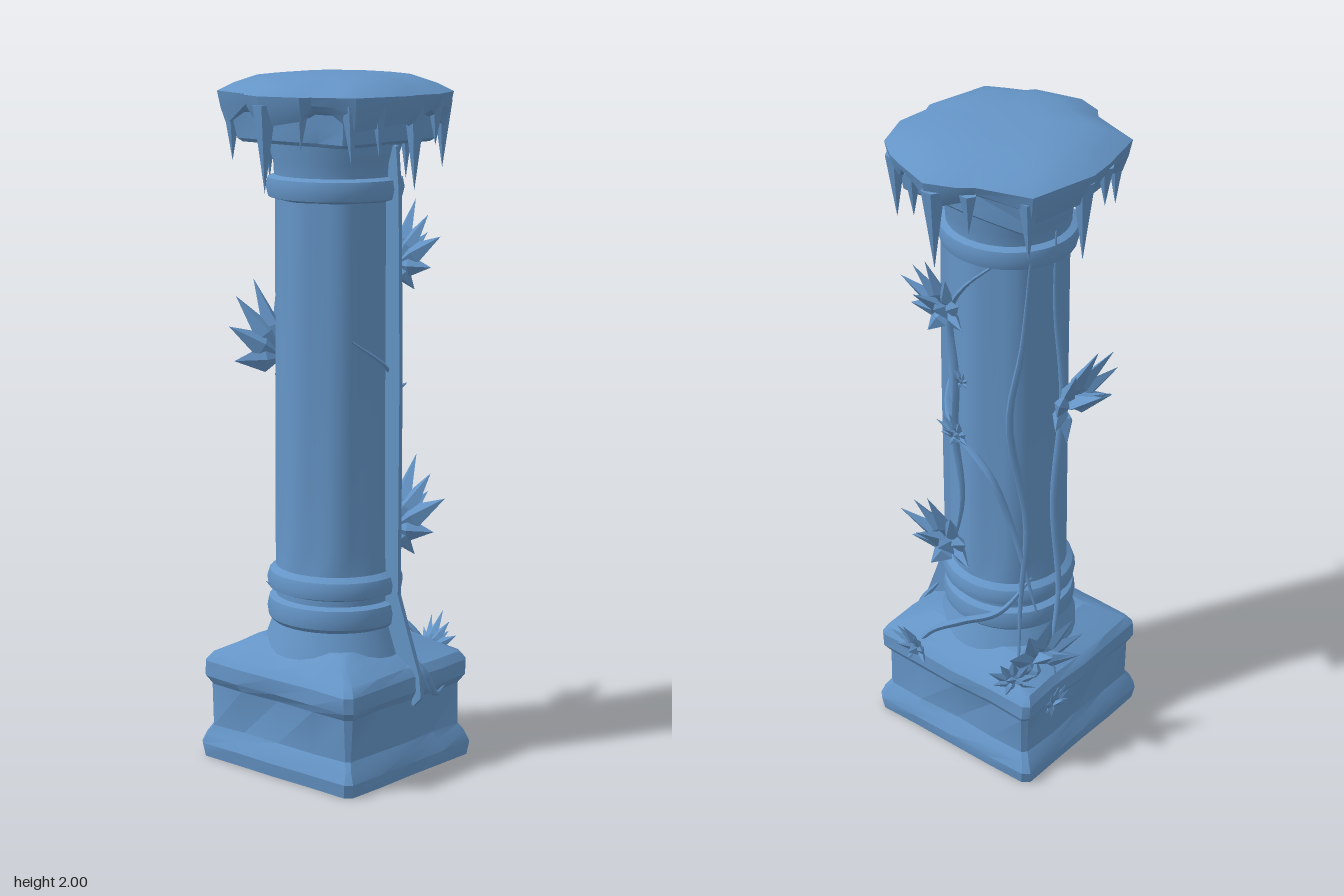
import * as THREE from 'three';
import { toCreasedNormals } from 'three/addons/utils/BufferGeometryUtils.js';

const CX = -0.015, CZ = 0.022; // column axis

// Skin a stack of equal-length rings (bottom to top) and cap both ends.
function loft(rings, crease = 0.6) {
  const n = rings[0].length, pos = [], idx = [];
  rings.forEach((r) => r.forEach((p) => pos.push(...p)));
  for (let j = 0; j < rings.length - 1; j++) {
    for (let i = 0; i < n; i++) {
      const a = j * n + i, b = j * n + (i + 1) % n;
      idx.push(a, a + n, b, b, a + n, b + n);
    }
  }
  [0, rings.length - 1].forEach((j) => {
    const c = pos.length / 3, sum = [0, 0, 0];
    rings[j].forEach((p) => p.forEach((v, k) => { sum[k] += v / n; }));
    pos.push(...sum);
    for (let i = 0; i < n; i++) {
      const a = j * n + i, b = j * n + (i + 1) % n;
      if (j === 0) idx.push(a, b, c); else idx.push(b, a, c);
    }
  });
  const g = new THREE.BufferGeometry();
  g.setAttribute('position', new THREE.Float32BufferAttribute(pos, 3));
  g.setIndex(idx);
  return toCreasedNormals(g, crease);
}

// Worn square ring, running from +x towards +z.
function squareRing(y, hx, hz, wear) {
  const pts = [];
  for (let s = 0; s < 4; s++) {
    for (const t of [-0.93, -0.5, 0, 0.5, 0.93]) {
      const w = 1 - wear * (0.5 + 0.5 * Math.sin(s * 2.3 + t * 5 + y * 17));
      const [u, v] = [[w, t], [-t, w], [-w, -t], [t, -w]][s];
      pts.push([-0.012 + u * hx, y, CZ + v * hz]);
    }
  }
  return pts;
}

export function createModel() {
  const root = new THREE.Group();
  const stone = new THREE.MeshStandardMaterial({ color: 0x6494c6, side: THREE.DoubleSide });
  stone.name = 'frosted blue stone';
  const add = (name, geo, parent = root) => {
    const m = new THREE.Mesh(geo, stone);
    m.name = name;
    parent.add(m);
    return m;
  };

  // Plinth with a foot, a recessed waist and a sloping top
  const plinth = [[0, 0.272, 0.292, 0.01], [0.04, 0.278, 0.298, 0.01], [0.07, 0.268, 0.288, 0.03],
    [0.095, 0.253, 0.273, 0.03], [0.22, 0.256, 0.276, 0.03], [0.245, 0.272, 0.292, 0.03],
    [0.29, 0.272, 0.292, 0.03], [0.315, 0.255, 0.275, 0.03], [0.345, 0.2, 0.21, 0], [0.37, 0.16, 0.17, 0]];
  add('plinth', loft(plinth.map((r) => squareRing(...r)), 0.5));

  // Column: foot, two lower rings, shaft, upper ring, flared capital
  const profile = [[0.21, 0.33], [0.195, 0.37], [0.177, 0.42], [0.188, 0.432], [0.192, 0.46], [0.186, 0.487],
    [0.167, 0.495], [0.167, 0.512], [0.188, 0.52], [0.192, 0.545], [0.185, 0.568], [0.167, 0.582],
    [0.163, 0.65], [0.161, 1.1], [0.161, 1.645], [0.184, 1.652], [0.191, 1.68], [0.186, 1.706],
    [0.168, 1.714], [0.17, 1.75], [0.188, 1.815], [0.19, 1.9]];
  const column = profile.map(([r, y]) => Array.from({ length: 32 }, (_, i) => {
    const a = i / 32 * Math.PI * 2;
    const flute = y > 0.6 && y < 1.65 ? 0.005 * Math.cos(a * 8) : 0;
    return [CX + (r + flute) * Math.cos(a), y, CZ + (r + flute) * 1.05 * Math.sin(a)];
  }));
  add('column', loft(column, 0.55));

  // Square block carrying the cap
  const block = [[1.805, 0.19, 0.2, 0.04], [1.815, 0.2, 0.215, 0.05], [1.86, 0.205, 0.22, 0.04], [1.92, 0.21, 0.22, 0]];
  add('capitalBlock', loft(block.map((r) => squareRing(...r)), 0.5));

  // Snow cap with a ragged hanging edge
  const outline = [[0.315, 0.04], [0.27, 0.165], [0.25, 0.21], [0.2, 0.275], [0.085, 0.32], [-0.01, 0.31],
    [-0.04, 0.322], [-0.22, 0.28], [-0.25, 0.22], [-0.275, 0.165], [-0.3, 0.145], [-0.33, 0.02], [-0.305, -0.055],
    [-0.275, -0.08], [-0.225, -0.235], [-0.08, -0.27], [0, -0.28], [0.2, -0.235], [0.25, -0.08], [0.28, -0.045]];
  const drop = [0.07, 0.02, 0.05, 0.08, 0.03, 0.07, 0.06, 0.08, 0.03, 0.02, 0.05, 0.07, 0.04, 0.02, 0.08, 0.03, 0.07, 0.08, 0.02, 0.04];
  const capRing = (s, y, hang = 0) => outline.map(([x, z], i) =>
    [CX + (x - CX) * s, y - hang * drop[i], CZ + (z - CZ) * s]);
  add('snowCap', loft([capRing(0.55, 1.885), capRing(0.82, 1.905, 0.4), capRing(0.92, 1.93, 1), capRing(0.97, 1.93, 0.4),
    capRing(1, 1.945), capRing(0.86, 1.968), capRing(0.66, 1.99), capRing(0.35, 1.998)], 0.5));

  // Icicles: x, z, tip height, radius
  const icicles = [[0.285, 0.03, 1.68, 0.034], [-0.302, 0.02, 1.68, 0.034], [0.03, 0.275, 1.68, 0.034],
    [0.0, -0.245, 1.68, 0.034], [0.2, 0.235, 1.73, 0.03], [-0.2, 0.245, 1.76, 0.03], [-0.12, 0.275, 1.78, 0.025],
    [0.12, 0.275, 1.8, 0.025], [-0.2, -0.2, 1.75, 0.03], [0.18, -0.205, 1.74, 0.03], [0.25, 0.13, 1.79, 0.025],
    [-0.265, 0.12, 1.8, 0.025], [0.25, -0.06, 1.8, 0.025], [-0.1, -0.24, 1.8, 0.025]];
  icicles.forEach(([x, z, tip, r]) => {
    const h = 1.92 - tip;
    const g = new THREE.ConeGeometry(r, h, 6).rotateX(Math.PI);
    add('icicle', toCreasedNormals(g, 0.4)).position.set(x, tip + h / 2, z);
  });

  // Flat stem running down the front and spreading over the plinth
  const ribbon = new THREE.Shape([[0.15, 1.82], [0.225, 1.8], [0.235, 1.68], [0.242, 1.15], [0.24, 0.52],
    [0.275, 0.42], [0.322, 0.29], [0.328, 0.23], [0.3, 0.2], [0.2, 0.3], [0.15, 0.5]].map((p) => new THREE.Vector2(...p)));
  add('frontStem', new THREE.ExtrudeGeometry(ribbon, { depth: 0.014, bevelEnabled: false }).rotateY(-Math.PI / 2))
    .position.x = 0.024;

  // Climbing vines, each a tapering tube
  const vines = [
    [[-0.11, 1.26, 0.17], [0.0, 1.18, 0.2], [0.09, 1.1, 0.165], [0.145, 1.06, 0.08], [0.155, 0.97, -0.05], [0.12, 0.8, -0.1], [0.09, 0.5, -0.17]],
    [[0.09, 1.68, -0.14], [0.1, 1.4, -0.12], [0.12, 1.15, -0.09], [0.09, 0.8, -0.13], [0.13, 0.55, -0.14], [0.2, 0.35, -0.19]],
    [[0.13, 1.66, -0.06], [0.15, 1.56, 0.04], [0.135, 1.44, 0.11], [0.15, 1.25, 0.08], [0.145, 1.05, 0.09], [0.15, 0.85, 0.06], [0.145, 0.62, 0.11]],
    [[0.25, 0.25, 0.2], [0.21, 0.35, 0.14], [0.18, 0.42, 0.04], [0.165, 0.52, -0.1], [0.09, 0.62, -0.15]],
    [[0.02, 1.75, -0.17], [0.0, 1.5, -0.155], [-0.03, 1.2, -0.16], [0.0, 0.85, -0.155], [0.01, 0.55, -0.185], [0.08, 0.38, -0.22], [0.11, 0.25, -0.27]],
    [[0.02, 0.36, 0.27], [0.05, 0.29, 0.31], [0.1, 0.22, 0.31], [0.15, 0.23, 0.3]],
  ];
  vines.forEach((points) => {
    const path = new THREE.CatmullRomCurve3(points.map((p) => new THREE.Vector3(...p)));
    const g = new THREE.TubeGeometry(path, 24, 0.012, 5);
    const p = g.attributes.position, v = new THREE.Vector3();
    for (let i = 0; i < p.count; i++) {
      const t = Math.floor(i / 6) / 24, c = path.getPointAt(t);
      v.fromBufferAttribute(p, i).sub(c).multiplyScalar(0.25 + 0.75 * Math.sin(Math.PI * t)).add(c);
      p.setXYZ(i, v.x, v.y, v.z);
    }
    g.computeVertexNormals();
    add('vine', g);
  });

  // Pointed leaf, widest below the middle, rooted at the origin
  const leaf = new THREE.OctahedronGeometry(1);
  const lp = leaf.attributes.position;
  for (let i = 0; i < lp.count; i++) {
    const y = lp.getY(i);
    lp.setXYZ(i, lp.getX(i) * 0.16, y > 0.5 ? 1 : y < -0.5 ? 0 : 0.38, lp.getZ(i) * 0.09);
  }
  leaf.computeVertexNormals();

  // Leaf fans: position, facing angle about y, size, outward tilt
  const clusters = [
    [[0.135, 1.45, 0.12], 1.45, 0.2, 0.4], [[-0.03, 1.17, -0.165], 3.14, 0.25, 0.5],
    [[0.15, 0.67, 0.1], 1.5, 0.23, 0.45], [[0.235, 0.29, 0.165], 1.4, 0.13, 0.5],
    [[0.13, 0.37, -0.2], 2.8, 0.22, 0.4], [[0.15, 1.06, 0.07], 1.5, 0.1, 0.4],
    [[0.22, 0.34, -0.19], 2.2, 0.12, 0.4], [[0.13, 0.23, -0.265], 3.1, 0.09, 0.3],
    [[0.145, 1.24, 0.06], 1.5, 0.06, 0.3]];
  const fan = [[0, 1], [0.42, 0.85], [-0.45, 0.9], [0.95, 0.8], [-0.95, 0.75], [1.6, 0.55], [-1.6, 0.6], [2.6, 0.45], [0.2, 0.7, 0.5], [-0.7, 0.6, 0.5]];
  clusters.forEach(([pos, turn, size, tilt]) => {
    const group = new THREE.Group();
    group.name = 'leafCluster';
    group.position.set(...pos);
    group.rotation.y = turn;
    fan.forEach(([angle, length, lift = 0]) => {
      const m = add('leaf', leaf, group);
      m.rotation.set(tilt + lift, 0, angle, 'ZXY');
      m.scale.set(size, size * length, size);
    });
    root.add(group);
  });

  return root;
}
